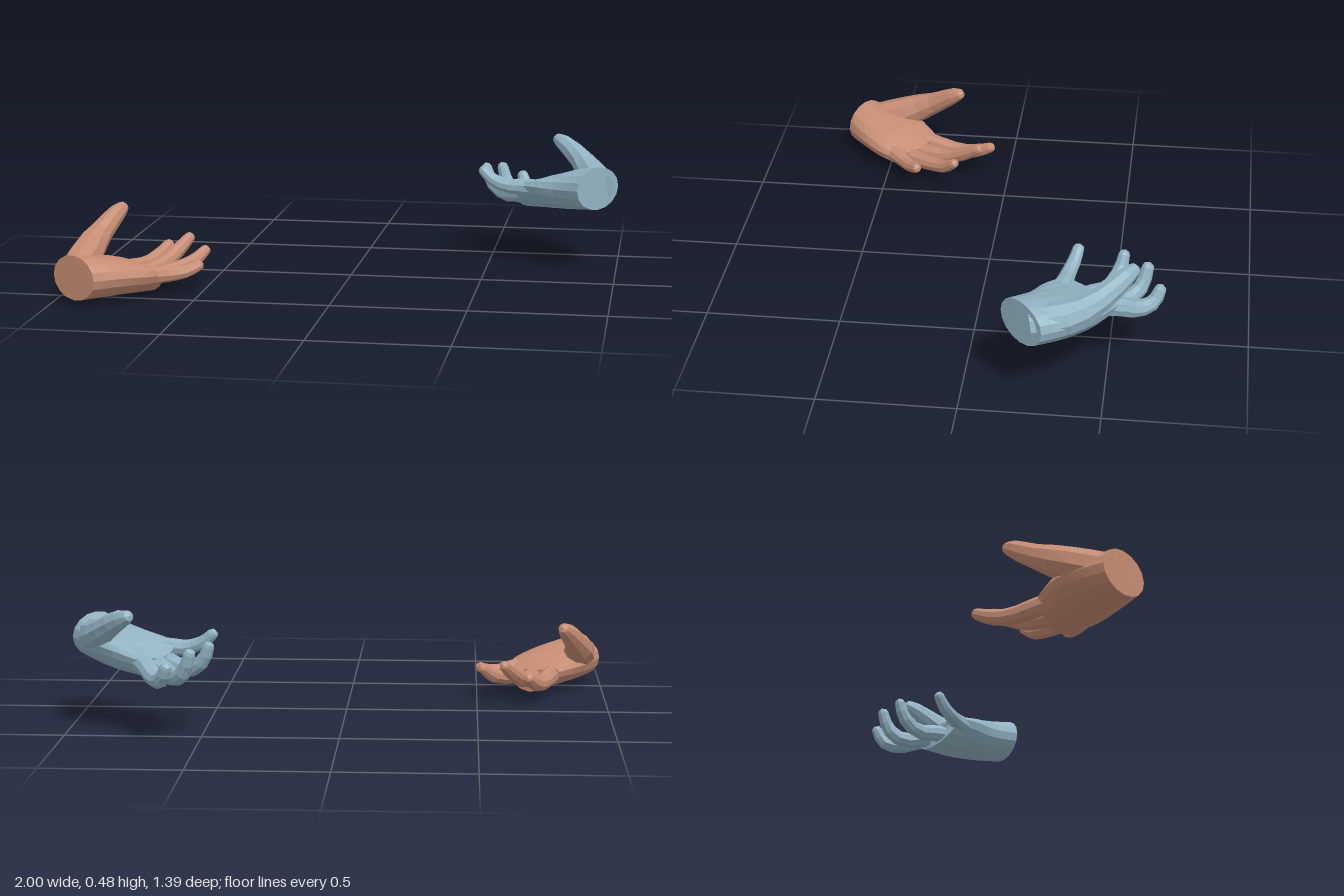
import * as THREE from 'three';

const V = (p) => new THREE.Vector3(p[0], p[1], p[2]);
const UP = new THREE.Vector3(0, 1, 0);

// Skin a list of equal-length rings into a closed surface with pointed-fan ends
function loft(rings, start, end) {
  const n = rings[0].length;
  const pos = [];
  const idx = [];
  rings.forEach((r) => r.forEach((p) => pos.push(p.x, p.y, p.z)));
  pos.push(start.x, start.y, start.z, end.x, end.y, end.z);
  const s = rings.length * n;
  for (let k = 0; k < n; k++) {
    const k1 = (k + 1) % n;
    for (let i = 0; i < rings.length - 1; i++) {
      const a = i * n + k, b = i * n + k1;
      idx.push(a, a + n, b, b, a + n, b + n);
    }
    const last = (rings.length - 1) * n;
    idx.push(s, k, k1, s + 1, last + k1, last + k);
  }
  const g = new THREE.BufferGeometry();
  g.setAttribute('position', new THREE.Float32BufferAttribute(pos, 3));
  g.setIndex(idx);
  g.computeVertexNormals();
  return g;
}

// Tapered digit through [x, y, z, radius] points, with a rounded tip
function digit(points, sides = 9, steps = 7) {
  const curve = new THREE.CatmullRomCurve3(points.map(V));
  const rings = [];
  const ring = (c, t, r) => {
    const side = new THREE.Vector3().crossVectors(t, UP).normalize();
    const up = new THREE.Vector3().crossVectors(side, t);
    rings.push(Array.from({ length: sides }, (_, k) => {
      const a = (k / sides) * Math.PI * 2;
      return c.clone().addScaledVector(side, r * Math.cos(a)).addScaledVector(up, r * Math.sin(a));
    }));
  };
  for (let i = 0; i <= steps; i++) {
    const u = i / steps;
    const f = u * (points.length - 1);
    const j = Math.min(Math.floor(f), points.length - 2);
    const r = THREE.MathUtils.lerp(points[j][3], points[j + 1][3], f - j);
    ring(curve.getPoint(u), curve.getTangent(u), r);
  }
  const tip = curve.getPoint(1), t = curve.getTangent(1), r = points[points.length - 1][3];
  ring(tip.clone().addScaledVector(t, r * 0.55), t, r * 0.78);
  return loft(rings, curve.getPoint(0), tip.clone().addScaledVector(t, r * 0.9));
}

// Palm from wrist to knuckles: each section is [right edge, middle, left edge, half thickness]
function palm(sections, sides = 16, steps = 8) {
  const [L, M, R] = [0, 1, 2].map((i) => new THREE.CatmullRomCurve3(sections.map((s) => V(s[i]))));
  const rings = [];
  for (let i = 0; i <= steps; i++) {
    const u = i / steps;
    const f = u * (sections.length - 1);
    const j = Math.min(Math.floor(f), sections.length - 2);
    const h = THREE.MathUtils.lerp(sections[j][3], sections[j + 1][3], f - j);
    const l = L.getPoint(u), m = M.getPoint(u), r = R.getPoint(u);
    const half = r.clone().sub(l).multiplyScalar(0.5);
    const mid = r.clone().add(l).multiplyScalar(0.5);
    const bow = m.sub(mid);
    rings.push(Array.from({ length: sides }, (_, k) => {
      const a = (k / sides) * Math.PI * 2;
      const c = Math.cos(a);
      const p = mid.clone().addScaledVector(half, c).addScaledVector(bow, 1 - c * c);
      p.y += h * Math.sin(a);
      return p;
    }));
  }
  return loft(rings, M.getPoint(0), M.getPoint(1));
}

function hand(name, color, palmSections, digits) {
  const group = new THREE.Group();
  group.name = name;
  const material = new THREE.MeshStandardMaterial({ color, flatShading: true });
  const add = (part, geometry) => {
    const mesh = new THREE.Mesh(geometry, material);
    mesh.name = part;
    group.add(mesh);
  };
  add('palm', palm(palmSections));
  for (const [part, points] of Object.entries(digits)) add(part, digit(points));
  return group;
}

export function createModel() {
  const model = new THREE.Group();
  model.name = 'reachingHands';

  // Lower hand, open and nearly flat
  model.add(hand('lowerHand', 0xc68d74, [
    [[-1, 0.1, 0.585], [-0.91, 0.1, 0.637], [-0.82, 0.1, 0.69], 0.083],
    [[-0.965, 0.1, 0.49], [-0.85, 0.09, 0.555], [-0.735, 0.1, 0.625], 0.076],
    [[-0.915, 0.1, 0.4], [-0.77, 0.075, 0.45], [-0.65, 0.09, 0.535], 0.065],
    [[-0.825, 0.09, 0.325], [-0.71, 0.045, 0.365], [-0.625, 0.08, 0.455], 0.045],
  ], {
    indexFinger: [[-0.81, 0.08, 0.4, 0.038], [-0.78, 0.07, 0.31, 0.036], [-0.745, 0.065, 0.21, 0.031], [-0.717, 0.085, 0.135, 0.028], [-0.697, 0.113, 0.078, 0.021]],
    middleFinger: [[-0.755, 0.06, 0.42, 0.038], [-0.72, 0.06, 0.35, 0.036], [-0.675, 0.075, 0.25, 0.031], [-0.635, 0.115, 0.17, 0.028], [-0.605, 0.152, 0.117, 0.021]],
    ringFinger: [[-0.71, 0.06, 0.44, 0.038], [-0.665, 0.062, 0.39, 0.034], [-0.605, 0.072, 0.31, 0.03], [-0.558, 0.09, 0.25, 0.027], [-0.522, 0.125, 0.207, 0.02]],
    littleFinger: [[-0.68, 0.08, 0.49, 0.036], [-0.64, 0.08, 0.452, 0.032], [-0.6, 0.077, 0.42, 0.027], [-0.55, 0.083, 0.385, 0.024], [-0.512, 0.1, 0.36, 0.02]],
    thumb: [[-0.92, 0.105, 0.6, 0.06], [-0.913, 0.135, 0.5, 0.066], [-0.908, 0.17, 0.41, 0.058], [-0.885, 0.215, 0.325, 0.042], [-0.855, 0.26, 0.26, 0.036], [-0.838, 0.28, 0.226, 0.025]],
  }));

  // Upper hand, cupped with curled fingers
  model.add(hand('upperHand', 0x93b3c2, [
    [[0.85, 0.325, -0.135], [0.925, 0.325, -0.21], [1, 0.325, -0.29], 0.083],
    [[0.76, 0.315, -0.215], [0.85, 0.305, -0.3], [0.95, 0.33, -0.385], 0.08],
    [[0.68, 0.315, -0.26], [0.76, 0.28, -0.375], [0.855, 0.32, -0.475], 0.068],
    [[0.605, 0.31, -0.32], [0.635, 0.245, -0.45], [0.72, 0.285, -0.535], 0.042],
  ], {
    indexFinger: [[0.74, 0.29, -0.46, 0.038], [0.69, 0.262, -0.53, 0.036], [0.647, 0.23, -0.6, 0.032], [0.618, 0.243, -0.652, 0.028], [0.6, 0.287, -0.675, 0.022]],
    middleFinger: [[0.69, 0.265, -0.43, 0.038], [0.64, 0.248, -0.49, 0.036], [0.585, 0.228, -0.56, 0.031], [0.545, 0.262, -0.607, 0.028], [0.522, 0.328, -0.626, 0.022]],
    ringFinger: [[0.67, 0.265, -0.38, 0.037], [0.61, 0.255, -0.43, 0.034], [0.545, 0.245, -0.487, 0.03], [0.488, 0.285, -0.525, 0.027], [0.465, 0.34, -0.538, 0.021]],
    littleFinger: [[0.67, 0.3, -0.32, 0.036], [0.62, 0.3, -0.335, 0.033], [0.56, 0.302, -0.345, 0.028], [0.503, 0.325, -0.363, 0.025], [0.469, 0.356, -0.374, 0.021]],
    thumb: [[0.93, 0.325, -0.24, 0.06], [0.91, 0.335, -0.33, 0.066], [0.885, 0.355, -0.41, 0.056], [0.84, 0.395, -0.49, 0.043], [0.785, 0.435, -0.55, 0.037], [0.75, 0.452, -0.583, 0.025]],
  }));

  return model;
}
